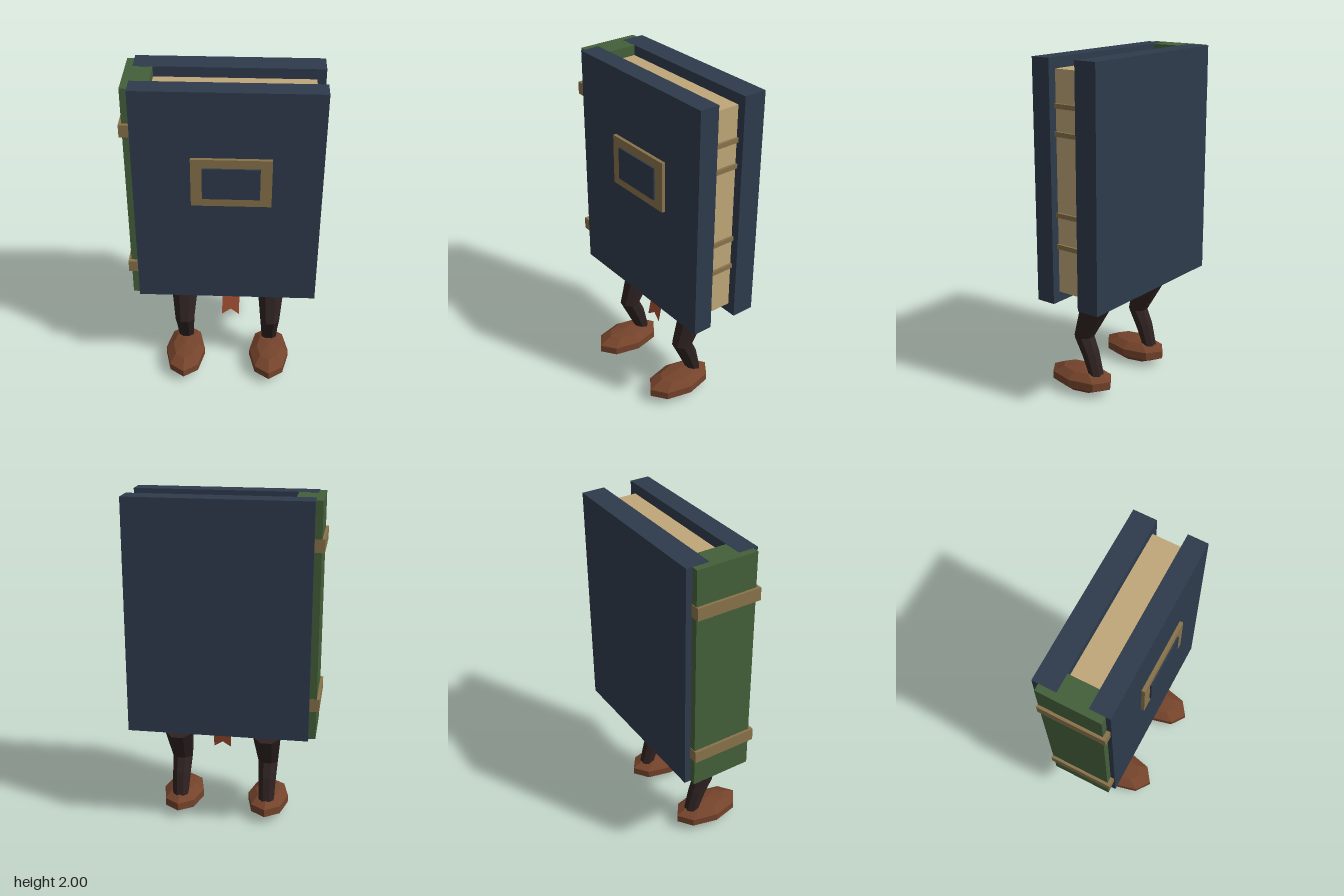
import * as THREE from 'three';

const mat = (name, color, extra = {}) => {
  const m = new THREE.MeshStandardMaterial({ color, flatShading: true, ...extra });
  m.name = name;
  return m;
};

export function createModel() {
  const navy = mat('navy cover', 0x2e3b4c);
  const green = mat('green spine', 0x44603a);
  const paper = mat('paper', 0xc0a778);
  const gold = mat('dull gold', 0x88734b);
  const red = mat('ribbon red', 0xa04e30, { side: THREE.DoubleSide });
  const dark = mat('dark stocking', 0x2e2221);
  const brown = mat('shoe brown', 0x74432b);

  const model = new THREE.Group();
  model.name = 'walkingBook';

  const add = (name, geometry, material, parent = model) => {
    const mesh = new THREE.Mesh(geometry, material);
    mesh.name = name;
    parent.add(mesh);
    return mesh;
  };
  // Box given by its extents on each axis
  const box = (name, material, [x0, x1], [y0, y1], [z0, z1]) => {
    const g = new THREE.BoxGeometry(x1 - x0, y1 - y0, z1 - z0);
    g.translate((x0 + x1) / 2, (y0 + y1) / 2, (z0 + z1) / 2);
    return add(name, g, material);
  };

  // Covers, spine and page block
  box('frontCover', navy, [-0.5, 0.555], [0.63, 2], [0.04, 0.157]);
  box('backCover', navy, [-0.5, 0.555], [0.63, 2], [-0.272, -0.135]);
  box('spine', green, [-0.54, -0.39], [0.631, 1.999], [-0.235, 0.13]);
  box('pages', paper, [-0.4, 0.505], [0.69, 1.94], [-0.136, 0.041]);

  // Raised bands around the spine
  for (const y of [0.838, 1.757])
    box('spineBand', gold, [-0.556, -0.45], [y - 0.037, y + 0.037], [-0.238, 0.151]);

  // Thin ridges across the fore edge of the pages
  for (const y of [0.961, 1.142, 1.593, 1.745])
    box('pageRidge', gold, [0.49, 0.52], [y - 0.013, y + 0.013], [-0.1355, 0.0405]);

  // Title plate: gold frame with a raised navy panel
  box('plateFrame', gold, [-0.175, 0.275], [1.305, 1.605], [0.15, 0.177]);
  box('platePanel', navy, [-0.112, 0.21], [1.357, 1.552], [0.17, 0.187]);

  // Bookmark ribbon with a notched end, leaning forward
  const ribbon = new THREE.Shape([
    [-0.053, 0], [-0.053, -0.3], [0, -0.262], [0.053, -0.3], [0.053, 0],
  ].map(([x, y]) => new THREE.Vector2(x, y)));
  const bookmark = add('ribbon', new THREE.ShapeGeometry(ribbon), red);
  bookmark.position.set(0.048, 0.7, 0.005);
  bookmark.rotation.x = -0.2;

  // Bent leg lofted through octagonal rings: front [y, z], back [y, z], half width
  const rings = [
    [[0.08, 0.0], [0.08, -0.1], 0.047],
    [[0.15, 0.0], [0.13, -0.092], 0.049],
    [[0.235, 0.04], [0.265, -0.06], 0.054],
    [[0.35, 0.095], [0.35, -0.02], 0.061],
    [[0.595, 0.028], [0.53, -0.127], 0.086],
  ];
  const legGeometry = () => {
    const n = 8, pos = [], idx = [];
    for (const [f, b, w] of rings)
      for (let i = 0; i < n; i++) {
        const a = ((i + 0.5) / n) * Math.PI * 2, t = (1 + Math.cos(a) * 1.04) / 2;
        pos.push(w * Math.sin(a) * 1.04, b[0] + (f[0] - b[0]) * t, b[1] + (f[1] - b[1]) * t);
      }
    for (let r = 0; r < rings.length - 1; r++)
      for (let i = 0; i < n; i++) {
        const a = r * n + i, b = r * n + (i + 1) % n;
        idx.push(a, b, b + n, a, b + n, a + n);
      }
    // End caps
    const top = (rings.length - 1) * n;
    for (let i = 1; i < n - 1; i++)
      idx.push(top, top + i, top + i + 1, 0, i + 1, i);
    const g = new THREE.BufferGeometry();
    g.setAttribute('position', new THREE.Float32BufferAttribute(pos, 3));
    g.setIndex(idx);
    const flat = g.toNonIndexed();
    flat.computeVertexNormals();
    return flat;
  };

  // Legs with rounded low-poly shoes
  for (const [name, x] of [['rightLeg', -0.242], ['leftLeg', 0.295]]) {
    const leg = new THREE.Group();
    leg.name = name;
    leg.position.x = x;
    model.add(leg);
    add('stocking', legGeometry(), dark, leg);
    const shoe = new THREE.SphereGeometry(1, 8, 5);
    shoe.scale(0.131, 0.076, 0.226);
    shoe.translate(0, 0.076, 0.06);
    add('shoe', shoe, brown, leg);
  }
  return model;
}
